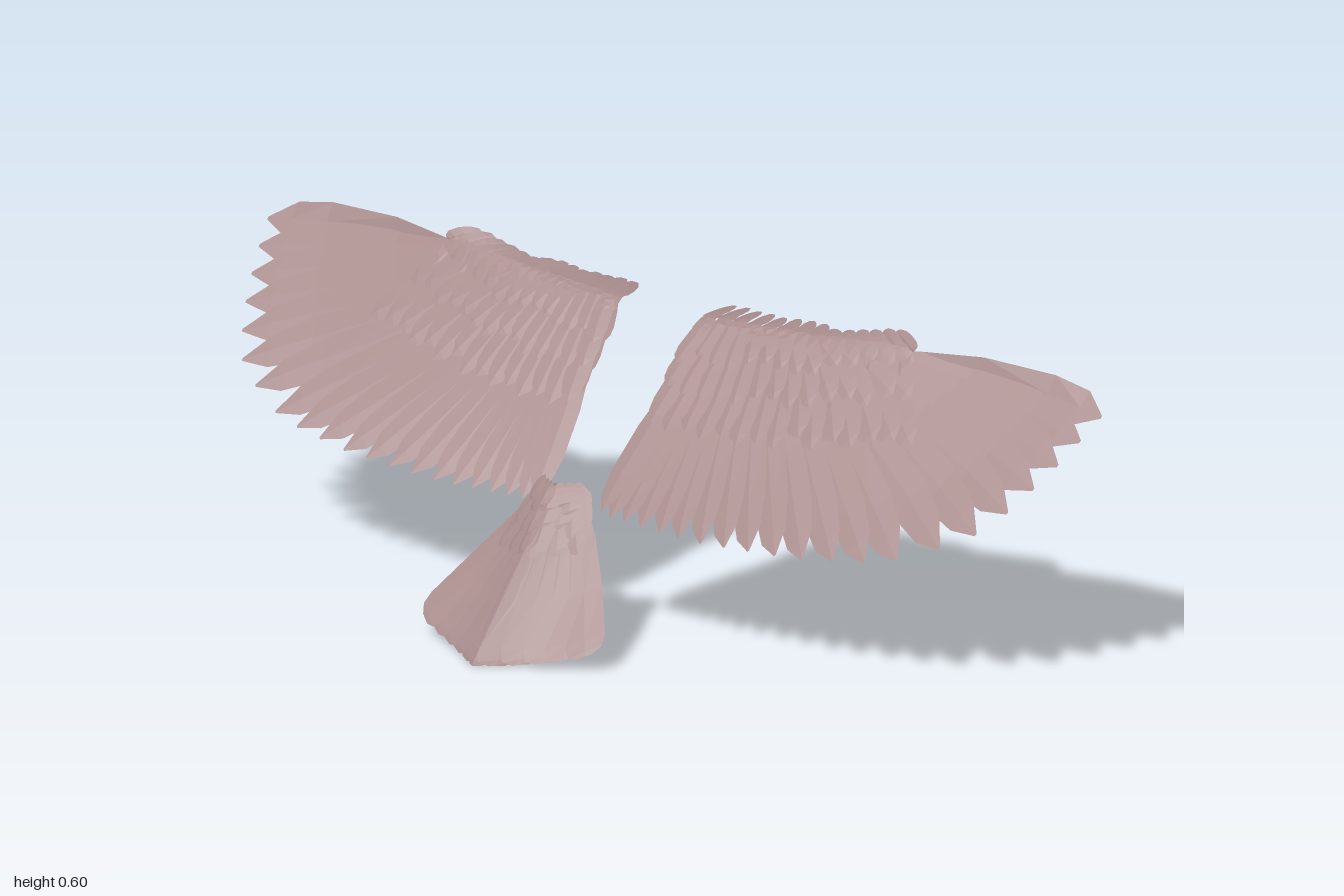
import * as THREE from 'three';
import { mergeGeometries } from 'three/addons/utils/BufferGeometryUtils.js';

const material = new THREE.MeshStandardMaterial({ color: 0xa88c8c, side: THREE.DoubleSide, flatShading: true });
const lerp = THREE.MathUtils.lerp;

// Vane outlines: [position along the shaft, share of the half width]
const POINTED = [[0, 0.35], [0.2, 0.8], [0.45, 1], [0.75, 1], [0.9, 0.75], [1, 0.06]];
const BLUNT = [[0, 0.3], [0.25, 0.6], [0.6, 0.85], [0.9, 1], [0.97, 0.85], [1, 0.35]];

function makeRandom(seed) {
  return () => {
    seed = (seed * 16807) % 2147483647;
    return seed / 2147483647;
  };
}

// Wing sheet: slopes forward and down, bulges over the arm, rolls back at the leading edge
function wingSurface(x, v, h) {
  const arm = Math.min(1, Math.max(0, 1 - x / 0.75));
  const y = Math.min(v, 0.57);
  const over = Math.max(0, v - 0.57);
  const z = 0.05 - 1.14 * (y - 0.25) - 0.05 * x + 0.26 * arm * (y - 0.25) - over * arm * 1.1;
  return [x, y + over * lerp(0.9, 0.12, Math.min(1, arm * 2)) + h * 0.66, z + h * 0.75];
}

// Tail sheet: slopes forward and down, arched across
function tailSurface(x, v, h) {
  const drop = 0.075 * Math.tanh(Math.abs(x) / 0.11);
  return [x, v + h * 0.66, 0.075 + (0.3 - v) * 0.88 - drop + h * 0.75];
}

// One feather laid on a sheet, with a raised shaft, bent along a curve
function feather(surface, base, tip, o) {
  const { width, bend = 0, lift = 0, tipLift = lift, twist = 0.005, outline = POINTED } = o;
  const a = new THREE.Vector2(...base), b = new THREE.Vector2(...tip);
  const side = new THREE.Vector2(-(b.y - a.y), b.x - a.x);
  const mid = a.clone().add(b).multiplyScalar(0.5).addScaledVector(side, bend);
  const curve = new THREE.QuadraticBezierCurve(a, mid, b);
  const position = [], index = [];
  outline.forEach(([t, w], row) => {
    const p = curve.getPoint(t), d = curve.getTangent(t);
    for (const s of [-1, 0, 1]) {
      const h = lerp(lift, tipLift, t) + twist * s * w + 0.003 * (1 - Math.abs(s)) * w;
      position.push(...surface(p.x - d.y * s * w * width, p.y + d.x * s * w * width, h));
    }
    if (row === 0) return;
    for (const c of [0, 1]) {
      const i = (row - 1) * 3 + c;
      index.push(i, i + 3, i + 1, i + 1, i + 3, i + 4);
    }
  });
  const geometry = new THREE.BufferGeometry();
  geometry.setAttribute('position', new THREE.Float32BufferAttribute(position, 3));
  geometry.setIndex(index);
  geometry.computeVertexNormals();
  return geometry;
}

function addRow(group, name, feathers) {
  const mesh = new THREE.Mesh(mergeGeometries(feathers), material);
  mesh.name = name;
  group.add(mesh);
}

const WING_TIPS = [
  [1, 0.535], [0.985, 0.495], [0.967, 0.455], [0.945, 0.415], [0.918, 0.375], [0.88, 0.335], [0.82, 0.305],
  [0.745, 0.277], [0.68, 0.265], [0.615, 0.257], [0.55, 0.25], [0.49, 0.247], [0.43, 0.245], [0.375, 0.243],
  [0.32, 0.242], [0.27, 0.242], [0.225, 0.245], [0.18, 0.246], [0.14, 0.248], [0.105, 0.25], [0.08, 0.258],
];

// Covert rows: feather count, base height, tip height, outer end, half width, lift
const COVERTS = [
  { name: 'greaterCoverts', count: 15, base: 0.54, tip: 0.395, end: 0.5, width: 0.026, lift: 0.007 },
  { name: 'medianCoverts', count: 14, base: 0.56, tip: 0.455, end: 0.45, width: 0.024, lift: 0.011 },
  { name: 'lesserCoverts', count: 14, base: 0.58, tip: 0.505, end: 0.42, width: 0.022, lift: 0.014 },
];

function buildWing(name, sign) {
  const wing = new THREE.Group();
  wing.name = name;
  const random = makeRandom(77);
  const surface = (x, v, h) => {
    const p = wingSurface(x, v, h);
    return [p[0] * sign, p[1], p[2]];
  };

  // Flight feathers fan from the arm line
  const flight = WING_TIPS.map((tip, i) => {
    const k = i / (WING_TIPS.length - 1);
    const base = [lerp(0.46, 0.125, k ** 0.9), lerp(0.555, 0.5, k)];
    return feather(surface, base, tip, {
      width: lerp(0.034, 0.029, k), bend: lerp(0.05, -0.05, Math.min(1, k * 1.3)),
      lift: -0.004 + 0.004 * k, tipLift: 0.003 * (random() - 0.5),
    });
  });
  addRow(wing, 'primaryFeathers', flight.slice(0, 10));
  addRow(wing, 'secondaryFeathers', flight.slice(10));

  // Coverts overlap on the upper side and again on the underside
  for (const face of [1, -1]) {
    for (const row of COVERTS) {
      const feathers = [];
      for (let i = 0; i < row.count; i++) {
        const k = i / (row.count - 1);
        const x = lerp(0.125, row.end, k);
        const tip = [x + lerp(-0.025, 0.15, k), row.tip + 0.05 * k * k + 0.02 * (random() - 0.5)];
        feathers.push(feather(surface, [x, row.base], tip, {
          width: row.width, lift: face * row.lift * 0.6, tipLift: face * row.lift, twist: 0.004 * face,
        }));
      }
      addRow(wing, (face > 0 ? 'upper' : 'under') + row.name[0].toUpperCase() + row.name.slice(1), feathers);
    }
  }

  // Small ragged feathers rolled over the leading edge
  const edge = [];
  for (let row = 0; row < 2; row++) {
    for (let i = 0; i < 14; i++) {
      const k = i / 13, x = lerp(0.12, 0.5, k);
      edge.push(feather(surface, [x, 0.665 - row * 0.035 - random() * 0.02],
        [x + lerp(-0.01, 0.06, k), 0.575 - row * 0.04], {
          width: 0.02, lift: 0.002 + 0.003 * row, tipLift: 0.008 + 0.006 * random(),
        }));
    }
  }
  addRow(wing, 'leadingEdgeFeathers', edge);
  return wing;
}

function buildTail() {
  const tail = new THREE.Group();
  tail.name = 'tail';
  const random = makeRandom(31);

  // Broad blunt tail feathers, the middle ones on top
  const fan = [];
  for (let i = 0; i < 11; i++) {
    const a = i / 5 - 1;
    fan.push(feather(tailSurface, [0.045 * a, 0.275], [0.192 * a, 0.006 + 0.033 * a * a], {
      width: 0.036, lift: 0.004 * (1 - Math.abs(a)), twist: -0.004 * Math.sign(a), outline: BLUNT,
    }));
  }
  addRow(tail, 'tailFeathers', fan);

  // Short coverts over and under the tail root
  for (const face of [1, -1]) {
    const coverts = [];
    for (let row = 0; row < 3; row++) {
      for (let i = 0; i < 6; i++) {
        const a = i / 2.5 - 1;
        const tip = [(0.09 - row * 0.02) * a, 0.175 + row * 0.035 + 0.02 * random()];
        coverts.push(feather(tailSurface, [0.035 * a, 0.285 + 0.008 * row], tip, {
          width: 0.022, lift: face * 0.004 * (row + 1), tipLift: face * (0.006 + 0.005 * row),
        }));
      }
    }
    addRow(tail, face > 0 ? 'upperTailCoverts' : 'underTailCoverts', coverts);
  }
  return tail;
}

export function createModel() {
  const model = new THREE.Group();
  model.name = 'wingsAndTail';
  model.add(buildWing('leftWing', 1), buildWing('rightWing', -1), buildTail());
  return model;
}
